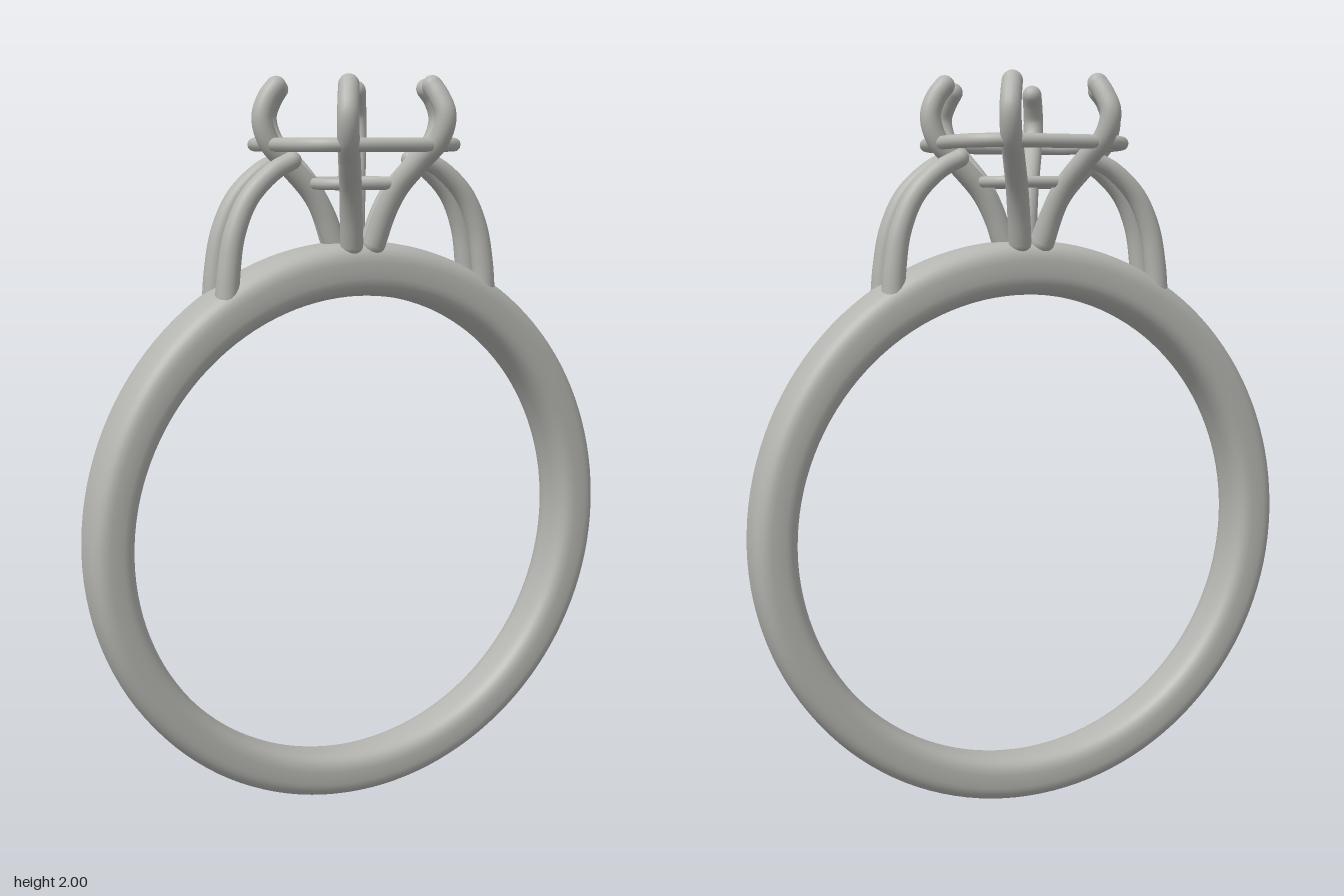
import * as THREE from 'three';

const metal = new THREE.MeshStandardMaterial({ color: 0xb4b4b0 });
metal.name = 'polished metal';

function add(group, geometry, name) {
  const mesh = new THREE.Mesh(geometry, metal);
  mesh.name = name;
  group.add(mesh);
  return mesh;
}

// signed power, used for rounded-square outlines
const sp = (v, n) => Math.sign(v) * Math.pow(Math.abs(v), 2 / n);

// Band with a soft rounded-rectangle section, wider and thicker towards the top
function bandGeometry() {
  const N = 128, M = 40, centreY = 0.773;
  const pos = [], idx = [];
  for (let i = 0; i < N; i++) {
    const a = (i / N) * Math.PI * 2, s = Math.sin(a);
    const inner = 0.65, outer = 0.772 + 0.025 * Math.max(0, s) ** 2;
    const mid = (inner + outer) / 2, half = (outer - inner) / 2;
    const width = 0.08 + 0.01 * s;
    for (let j = 0; j < M; j++) {
      const b = (j / M) * Math.PI * 2;
      const r = mid + half * sp(Math.cos(b), 3);
      pos.push(r * Math.cos(a), centreY + r * s, width * sp(Math.sin(b), 3));
      const i2 = (i + 1) % N, j2 = (j + 1) % M;
      const p = i * M + j, q = i2 * M + j, u = i2 * M + j2, v = i * M + j2;
      idx.push(p, q, u, p, u, v);
    }
  }
  const g = new THREE.BufferGeometry();
  g.setAttribute('position', new THREE.Float32BufferAttribute(pos, 3));
  g.setIndex(idx);
  g.computeVertexNormals();
  return g;
}

// Round wire that tapers from r0 to r1, with ball ends
function wire(name, points, r0, r1) {
  const group = new THREE.Group();
  group.name = name;
  const curve = new THREE.CatmullRomCurve3(points.map(p => new THREE.Vector3(...p)));
  const S = 40, R = 16;
  const g = new THREE.TubeGeometry(curve, S, 1, R, false);
  const pos = g.attributes.position, nor = g.attributes.normal;
  const n = new THREE.Vector3();
  for (let i = 0; i <= S; i++) {
    const c = curve.getPointAt(i / S), r = r0 + (r1 - r0) * (i / S);
    for (let j = 0; j <= R; j++) {
      const k = i * (R + 1) + j;
      n.fromBufferAttribute(nor, k).multiplyScalar(r).add(c);
      pos.setXYZ(k, n.x, n.y, n.z);
    }
  }
  add(group, g, name + 'Wire');
  [[0, r0], [1, r1]].forEach(([t, r]) => {
    add(group, new THREE.SphereGeometry(r, 16, 12), name + 'End').position.copy(curve.getPointAt(t));
  });
  return group;
}

// Closed rounded-square wire lying flat
function galleryRing(halfX, halfZ, y, radius) {
  const pts = [];
  for (let i = 0; i < 48; i++) {
    const a = ((i + 0.5) / 48) * Math.PI * 2;
    const c = Math.cos(a), s = Math.sin(a), n = 3.4;
    const k = 1 / Math.pow(Math.abs(c) ** n + Math.abs(s) ** n, 1 / n);
    pts.push(new THREE.Vector3(halfX * c * k, y, halfZ * s * k));
  }
  return new THREE.TubeGeometry(new THREE.CatmullRomCurve3(pts, true), 96, radius, 12, true);
}

export function createModel() {
  const model = new THREE.Group();
  model.name = 'ring';

  add(model, bandGeometry(), 'band');
  add(model, galleryRing(0.238, 0.238, 1.825, 0.018), 'upperGallery');
  add(model, galleryRing(0.125, 0.125, 1.724, 0.015), 'lowerGallery');

  // Prongs: [distance from centre, height], bowed out and hooked in at the tip
  const sideProfile = [[0.055, 1.565], [0.085, 1.64], [0.12, 1.7], [0.19, 1.775],
    [0.245, 1.835], [0.262, 1.895], [0.245, 1.945], [0.222, 1.973]];
  const cornerProfile = [[0.07, 1.565], [0.105, 1.65], [0.145, 1.715], [0.215, 1.785],
    [0.272, 1.84], [0.29, 1.9], [0.27, 1.945], [0.248, 1.973]];
  const prong = (name, profile, dx, dz) =>
    model.add(wire(name, profile.map(([r, y]) => [r * dx, y, r * dz]), 0.031, 0.027));

  for (const sx of [-1, 1]) {
    prong('sideProng', sideProfile, sx, 0);
    for (const sz of [-1, 1]) {
      prong(sz > 0 ? 'frontProng' : 'backProng', cornerProfile, sx * 0.48, sz * 0.877);

      // Paired shoulder arches rising from the band to the head
      const arch = [[0.386, 1.42, 0.046], [0.38, 1.5, 0.046], [0.362, 1.6, 0.045],
        [0.32, 1.69, 0.043], [0.25, 1.757, 0.041], [0.195, 1.785, 0.04]];
      model.add(wire('shoulderArch', arch.map(([x, y, z]) => [sx * x, y, sz * z]), 0.032, 0.024));
    }
  }
  return model;
}
